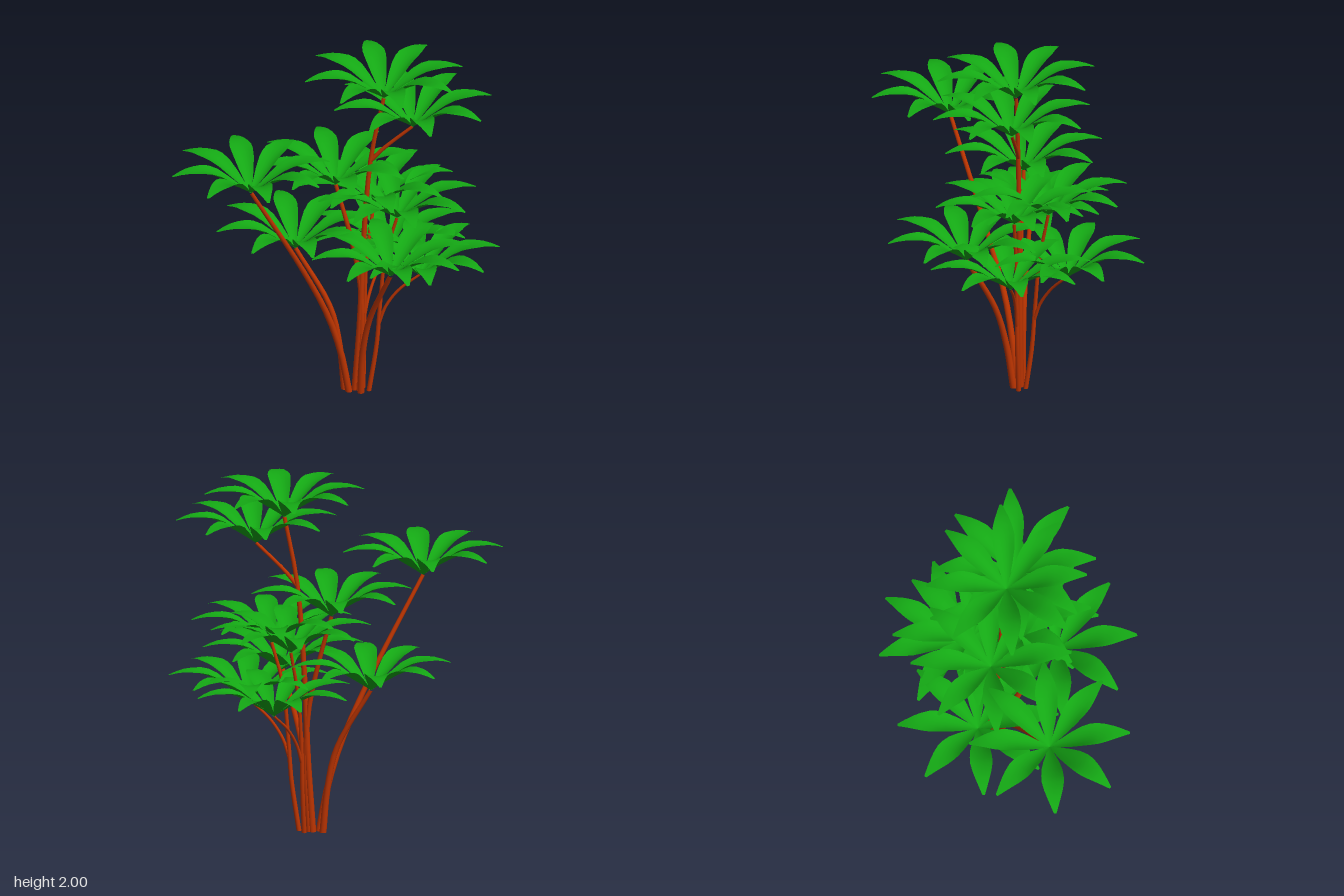
import * as THREE from 'three';

const leafMat = new THREE.MeshStandardMaterial({ color: 0x14a814, side: THREE.DoubleSide });
leafMat.name = 'leaf green';
const barkMat = new THREE.MeshStandardMaterial({ color: 0xbc3400 });
barkMat.name = 'red brown bark';

// Leaf cross-sections: distance from crown centre, height, half width, lift of the edges
const LEAF = [
  [0, 0, 0.006, 0], [0.06, 0.04, 0.024, 0.007], [0.12, 0.079, 0.043, 0.017], [0.18, 0.116, 0.057, 0.025],
  [0.23, 0.143, 0.063, 0.021], [0.27, 0.159, 0.063, 0.013], [0.32, 0.17, 0.053, 0.003], [0.365, 0.171, 0.039, 0],
  [0.41, 0.161, 0.023, 0], [0.453, 0.146, 0.007, 0],
];

// One cupped leaf blade running along +x
function makeLeaf() {
  const pos = [], idx = [], cols = 6;
  LEAF.forEach(([r, y, w, lift], i) => {
    for (let j = 0; j <= cols; j++) {
      const t = (j / cols) * 2 - 1;
      pos.push(r, y + lift * t * t, t * w);
      if (i < LEAF.length - 1 && j < cols) {
        const a = i * (cols + 1) + j, c = a + cols + 1;
        idx.push(a, a + 1, c, a + 1, c + 1, c);
      }
    }
  });
  const g = new THREE.BufferGeometry();
  g.setAttribute('position', new THREE.Float32BufferAttribute(pos, 3));
  g.setIndex(idx);
  g.computeVertexNormals();
  return g;
}

// Ring of eight leaves
function makeCrown(leaf, [x, y, z], turn) {
  const crown = new THREE.Group();
  crown.name = 'leafCrown';
  crown.position.set(x, y, z);
  for (let k = 0; k < 8; k++) {
    const m = new THREE.Mesh(leaf, leafMat);
    m.name = 'leaf';
    m.rotation.y = -THREE.MathUtils.degToRad(turn + 45 * k);
    crown.add(m);
  }
  return crown;
}

// Tapered stem through the given points
function makeStem(name, points, r0, r1) {
  const curve = new THREE.CatmullRomCurve3(points.map(p => new THREE.Vector3(...p)), false, 'centripetal');
  const segs = 14, sides = 10;
  const g = new THREE.TubeGeometry(curve, segs, 1, sides);
  const p = g.attributes.position, v = new THREE.Vector3();
  for (let i = 0; i < p.count; i++) {
    const t = Math.floor(i / (sides + 1)) / segs;
    const c = curve.getPointAt(t);
    v.fromBufferAttribute(p, i).sub(c).multiplyScalar(r0 + (r1 - r0) * t).add(c);
    if (points[0][1] === 0 && t === 0) v.y = 0;
    p.setXYZ(i, v.x, v.y, v.z);
  }
  const stem = new THREE.Group();
  stem.name = name;
  const tube = new THREE.Mesh(g, barkMat);
  tube.name = name + 'Tube';
  stem.add(tube);
  if (points[0][1] === 0) {
    const cap = new THREE.Mesh(new THREE.CircleGeometry(r0, sides), barkMat);
    cap.name = 'stemFoot';
    cap.rotation.x = Math.PI / 2;
    cap.position.set(...points[0]);
    stem.add(cap);
  }
  return stem;
}

export function createModel() {
  const model = new THREE.Group();
  model.name = 'leafyPlant';
  const Z = -0.09;

  // Stems: name, radii at foot and tip, leaf turn in degrees, path
  const stems = [
    ['tallStem', 0.02, 0.011, 22.5, [[0.06, 0, Z], [0.09, 0.45, Z], [0.105, 0.85, Z], [0.15, 1.44, Z], [0.225, 1.829, Z]]],
    ['tallBranch', 0.012, 0.009, 22.5, [[0.15, 1.43, Z], [0.22, 1.51, Z], [0.39, 1.664, Z]]],
    ['frontRightStem', 0.02, 0.011, 22.5,
      [[0.03, 0, -0.06], [-0.01, 0.25, -0.03], [-0.075, 0.5, 0.025], [-0.2, 0.84, 0.15], [-0.45, 1.409, 0.39]]],
    ['middleStem', 0.02, 0.011, 22.5, [[0.08, 0, Z], [0.1, 0.4, Z], [0.085, 0.7, Z], [0.03, 0.97, Z], [-0.05, 1.269, Z]]],
    ['rightStem', 0.02, 0.012, 22.5, [[0.0, 0, Z], [-0.025, 0.25, Z], [-0.08, 0.5, Z], [-0.28, 0.854, Z]]],
    ['frontLeftStem', 0.02, 0.013, 22.5, [[0.1, 0, -0.055], [0.115, 0.25, -0.02], [0.165, 0.5, 0.035], [0.31, 0.854, 0.18]]],
    ['leftStem', 0.014, 0.009, 22.5, [[0.14, 0, Z], [0.185, 0.3, Z], [0.2, 0.5, Z], [0.235, 0.85, Z], [0.3, 1.089, Z]]],
    ['leftBranch', 0.01, 0.007, 28, [[0.197, 0.42, Z], [0.235, 0.53, Z], [0.31, 0.64, Z], [0.43, 0.744, Z]]],
    ['backStem', 0.014, 0.009, 22.5,
      [[0.1, 0, -0.125], [0.1, 0.25, -0.16], [0.1, 0.5, -0.178], [0.11, 0.8, -0.205], [0.14, 1.089, -0.26]]],
    ['backBranch', 0.01, 0.007, 10,
      [[0.1, 0.42, -0.173], [0.118, 0.53, -0.21], [0.15, 0.64, -0.28], [0.205, 0.744, -0.38]]],
  ];

  const leaf = makeLeaf();
  for (const [name, r0, r1, turn, path] of stems) {
    model.add(makeStem(name, path, r0, r1));
    model.add(makeCrown(leaf, path[path.length - 1], turn));
  }
  return model;
}
